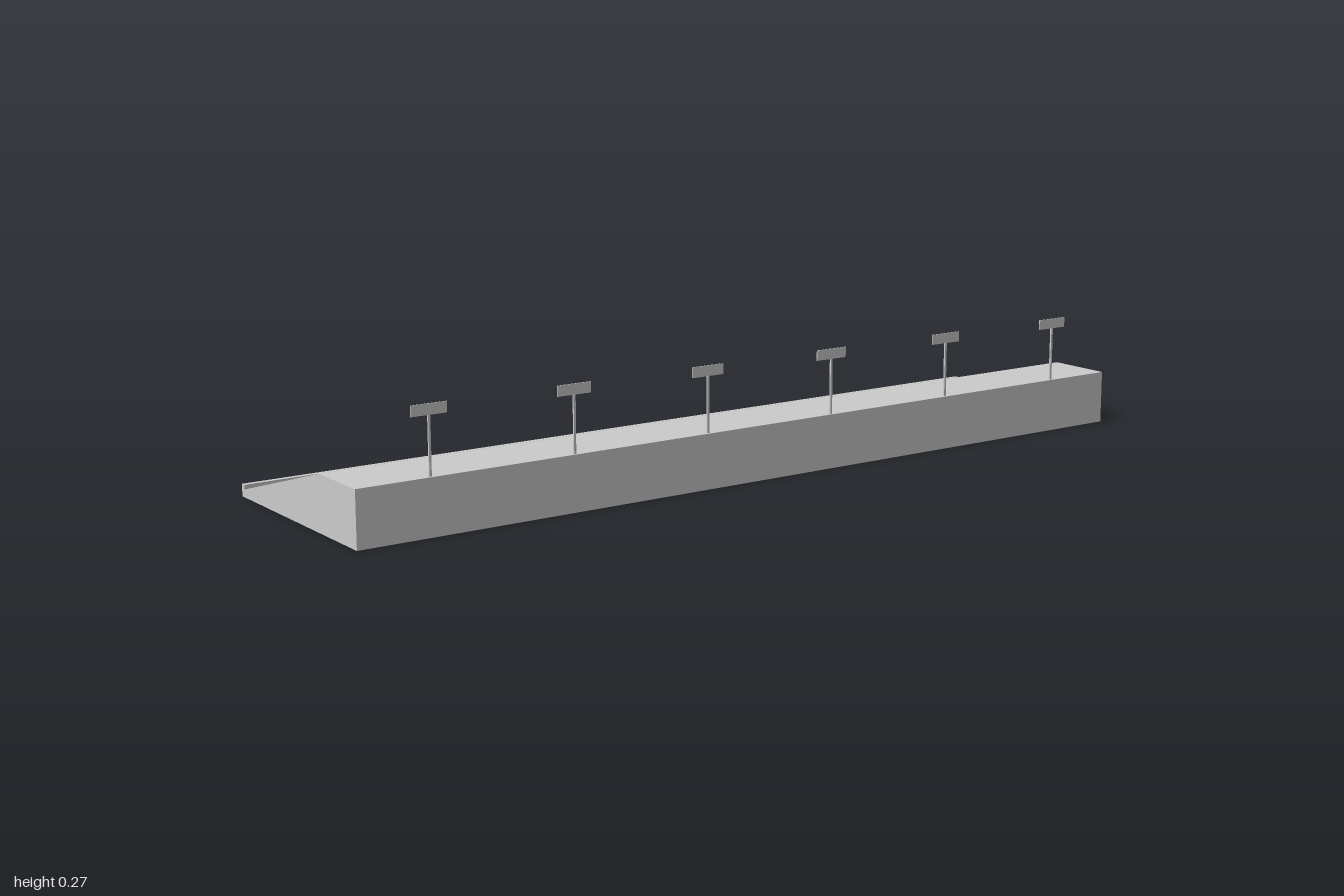
import * as THREE from 'three';

export function createModel() {
  const model = new THREE.Group();
  const grey = new THREE.MeshStandardMaterial({ color: 0xcccccc });
  grey.name = 'light grey';

  // Sloped stand: side profile (z, y) swept along x, with a lip on the low edge
  const profile = new THREE.Shape([
    [-0.262, 0], [0.262, 0], [0.262, 0.122], [0.108, 0.122],
    [-0.25, 0.017], [-0.25, 0.027], [-0.262, 0.027],
  ].map(([z, y]) => new THREE.Vector2(-z, y)));
  const standGeometry = new THREE.ExtrudeGeometry(profile, { depth: 2, bevelEnabled: false });
  standGeometry.translate(0, 0, -1).rotateY(Math.PI / 2);
  const stand = new THREE.Mesh(standGeometry, grey);
  stand.name = 'slopedStand';
  model.add(stand);

  // Row of small signs on thin posts along the high edge
  const postGeometry = new THREE.BoxGeometry(0.005, 0.123, 0.004);
  const plateGeometry = new THREE.BoxGeometry(0.08, 0.023, 0.002);
  for (let i = 0; i < 6; i++) {
    const sign = new THREE.Group();
    sign.name = 'sign' + (i + 1);
    const post = new THREE.Mesh(postGeometry, grey);
    post.name = 'post';
    post.position.y = 0.1835;
    const plate = new THREE.Mesh(plateGeometry, grey);
    plate.name = 'signPlate';
    plate.position.y = 0.2565;
    sign.add(post, plate);
    sign.position.set((i - 2.5) / 3, 0, 0.255);
    model.add(sign);
  }
  return model;
}
